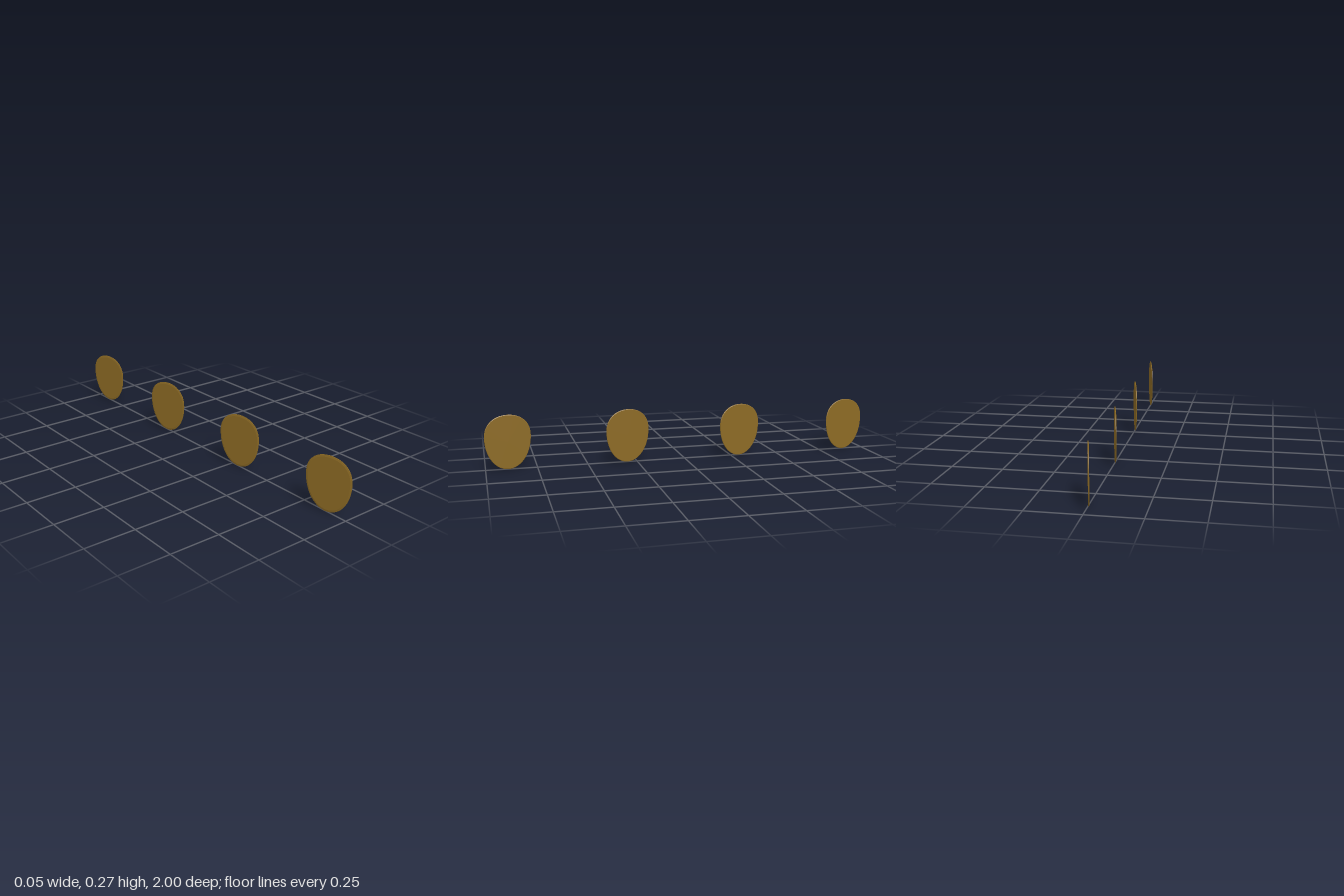
import * as THREE from 'three';
import { toCreasedNormals } from 'three/addons/utils/BufferGeometryUtils.js';

const SEGMENTS = 96;
const TOP = 0.272, MIDDLE = 0.165, BOTTOM = 0.002, HALF = 0.115;

// Rounded egg outline: broad shoulders, narrower foot
function outline() {
  const s = new THREE.Shape();
  s.moveTo(0, TOP);
  s.bezierCurveTo(0.066, TOP, HALF, 0.233, HALF, MIDDLE);
  s.bezierCurveTo(HALF, 0.07, 0.064, BOTTOM, 0, BOTTOM);
  s.bezierCurveTo(-0.064, BOTTOM, -HALF, 0.07, -HALF, MIDDLE);
  s.bezierCurveTo(-HALF, 0.233, -0.066, TOP, 0, TOP);
  return s.getSpacedPoints(SEGMENTS).slice(0, SEGMENTS);
}

// Thin plate lofted through scaled outlines, with a bevelled rim
function plateGeometry() {
  const points = outline();
  const centreY = (TOP + BOTTOM) / 2;
  // [scale, offset along x]
  const rings = [[0, 0.003], [0.98, 0.003], [1, 0.0015], [1, -0.001], [0.93, -0.003], [0, -0.003]];
  const positions = [], index = [];
  for (const [k, x] of rings) {
    for (const p of points) positions.push(x, centreY + (p.y - centreY) * k, p.x * k);
  }
  for (let r = 0; r < rings.length - 1; r++) {
    for (let i = 0; i < SEGMENTS; i++) {
      const j = (i + 1) % SEGMENTS;
      const a = r * SEGMENTS + i, b = r * SEGMENTS + j;
      const c = a + SEGMENTS, d = b + SEGMENTS;
      if (r < rings.length - 2) index.push(c, d, b);
      if (r > 0) index.push(a, c, b);
    }
  }
  const g = new THREE.BufferGeometry();
  g.setAttribute('position', new THREE.Float32BufferAttribute(positions, 3));
  g.setIndex(index);
  return toCreasedNormals(g, 0.18);
}

export function createModel() {
  const group = new THREE.Group();
  group.name = 'plateRow';
  const geometry = plateGeometry();
  const material = new THREE.MeshStandardMaterial({ color: 0x8c6a24 });

  // Four equal plates in a row, each turned slightly about its upright axis
  [-0.888, -0.296, 0.296, 0.888].forEach((z, i) => {
    const plate = new THREE.Mesh(geometry, material);
    plate.name = `plate${i + 1}`;
    plate.position.z = z;
    plate.rotation.y = 0.22;
    group.add(plate);
  });
  return group;
}
